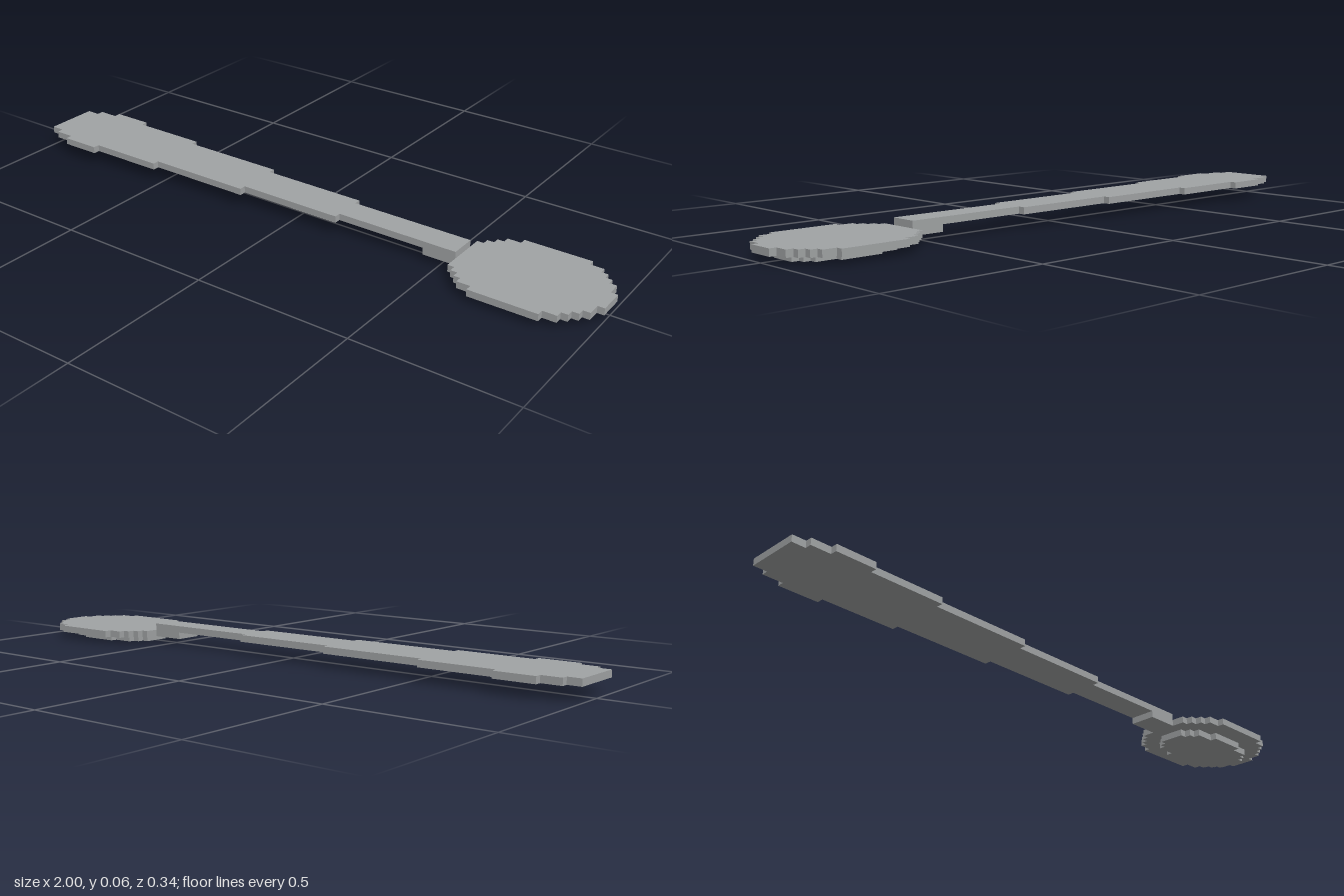
import * as THREE from 'three';

const metal = new THREE.MeshStandardMaterial({ color: 0xa0a3a4 });
metal.name = 'grey metal';
const U = 2 / 94; // one block

// Flat layer with a stepped outline: steps are [start x, half width], mirrored in z
function layer(name, steps, endX, level) {
  const side = [];
  steps.forEach(([x, w], i) => {
    const next = i + 1 < steps.length ? steps[i + 1][0] : endX;
    side.push([x, w * U], [next, w * U]);
  });
  const mirrored = side.map(([x, z]) => [x, -z]).reverse();
  const shape = new THREE.Shape([...side, ...mirrored].map(([x, z]) => new THREE.Vector2(x, z)));
  const geometry = new THREE.ExtrudeGeometry(shape, { depth: U, bevelEnabled: false });
  geometry.rotateX(-Math.PI / 2);
  const mesh = new THREE.Mesh(geometry, metal);
  mesh.position.y = level * U;
  mesh.name = name;
  return mesh;
}

export function createModel() {
  const group = new THREE.Group();
  group.name = 'spoon';

  // Handle, widening towards its end
  group.add(layer('handle', [
    [-1, 4], [-0.957, 5], [-0.894, 6], [-0.766, 5], [-0.521, 4], [-0.181, 3], [0.16, 2],
  ], 0.553, 2));

  // Bowl rim with the neck that sits under the handle
  group.add(layer('neckAndBowlRim', [
    [0.447, 2], [0.553, 4], [0.574, 5], [0.596, 6], [0.617, 7], [0.66, 8],
    [0.872, 7], [0.915, 6], [0.936, 5], [0.957, 4], [0.979, 2],
  ], 1, 1));

  // Smaller slab forming the bowl's underside
  group.add(layer('bowlBase', [
    [0.596, 2], [0.617, 3], [0.638, 4], [0.702, 5], [0.83, 4], [0.894, 3], [0.915, 2],
  ], 0.936, 0));

  return group;
}
